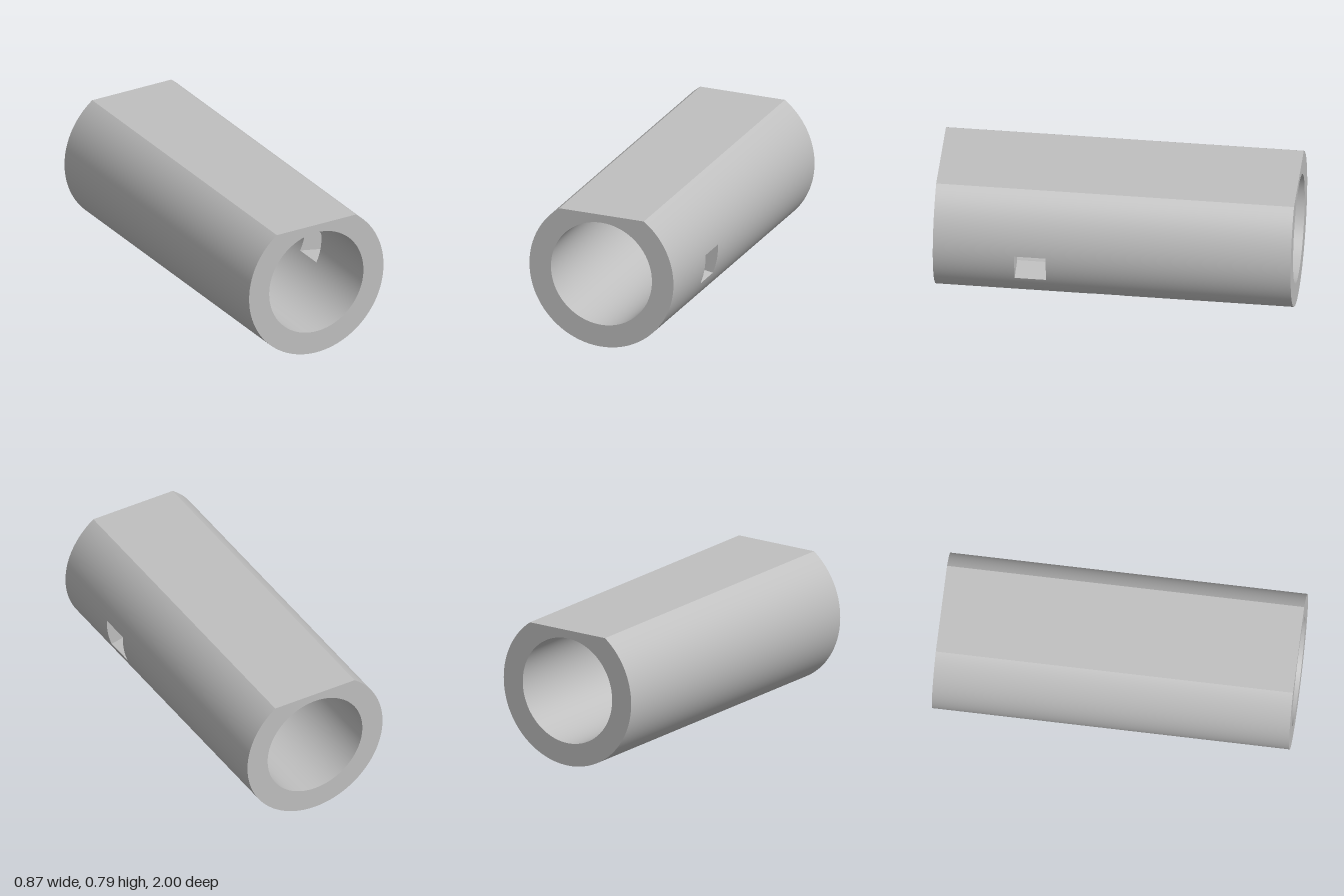
import * as THREE from 'three';
import { mergeGeometries } from 'three/addons/utils/BufferGeometryUtils.js';

const OUTER = 0.435, INNER = 0.305, HALF_LENGTH = 1;
const FLAT_HEIGHT = 0.352; // flat top, above the tube axis
const HALF_HOLE = 0.088;   // half the side of the square holes
const HOLES = [
  { angle: -10, z: 0.457 },
  { angle: -60, z: 0.045 },
];
const DEG = Math.PI / 180;
const FLAT_ANGLE = Math.asin(FLAT_HEIGHT / OUTER) / DEG;

// Angular limits of a parallel-sided radial hole at a given radius
function limits(hole, radius) {
  const half = Math.asin(HALF_HOLE / radius) / DEG;
  return [hole.angle - half, hole.angle + half];
}

// Evenly spaced angles, with the hole edges added
function arcAngles(radius, end) {
  const start = -180 - FLAT_ANGLE;
  const list = HOLES.flatMap((hole) => limits(hole, radius));
  const steps = Math.round((end - start) / 2);
  for (let i = 0; i <= steps; i++) list.push(start + ((end - start) * i) / steps);
  return list.sort((a, b) => a - b);
}

const outerAngles = arcAngles(OUTER, FLAT_ANGLE);
const innerAngles = arcAngles(INNER, 180 - FLAT_ANGLE);
const point = (radius, a) => new THREE.Vector2(Math.cos(a * DEG) * radius, Math.sin(a * DEG) * radius);

// Sheet from four-corner cells; each corner is [position, normal]
function sheet(cells) {
  const positions = [], normals = [];
  for (const c of cells) {
    for (const k of [0, 1, 2, 0, 2, 3]) {
      positions.push(...c[k][0]);
      normals.push(...c[k][1]);
    }
  }
  const geometry = new THREE.BufferGeometry();
  geometry.setAttribute('position', new THREE.Float32BufferAttribute(positions, 3));
  geometry.setAttribute('normal', new THREE.Float32BufferAttribute(normals, 3));
  return geometry;
}

// Round wall with the holes left open; side is 1 facing out, -1 facing in
function roundWall(radius, angles, side) {
  const zs = [-HALF_LENGTH, HALF_LENGTH];
  HOLES.forEach((h) => zs.push(h.z - HALF_HOLE, h.z + HALF_HOLE));
  zs.sort((a, b) => a - b);
  const corner = (a, z) => {
    const p = point(radius, a), n = point(side, a);
    return [[p.x, p.y, z], [n.x, n.y, 0]];
  };
  const cells = [];
  for (let j = 0; j < zs.length - 1; j++) {
    const zMid = (zs[j] + zs[j + 1]) / 2;
    for (let i = 0; i < angles.length - 1; i++) {
      const a = angles[i], b = angles[i + 1], mid = (a + b) / 2;
      const open = HOLES.some((h) => {
        const [lo, hi] = limits(h, radius);
        return Math.abs(zMid - h.z) < HALF_HOLE && mid > lo && mid < hi;
      });
      if (open) continue;
      const cell = [corner(a, zs[j]), corner(b, zs[j]), corner(b, zs[j + 1]), corner(a, zs[j + 1])];
      cells.push(side > 0 ? cell : cell.reverse());
    }
  }
  return sheet(cells);
}

// Flat face across the tube, facing +z or -z
function crossFace(shape, z, facing) {
  const geometry = new THREE.ShapeGeometry(shape).toNonIndexed();
  geometry.deleteAttribute('uv');
  if (facing < 0) {
    const p = geometry.attributes.position, n = geometry.attributes.normal;
    for (let i = 0; i < p.count; i += 3) {
      const x = p.getX(i), y = p.getY(i);
      p.setXY(i, p.getX(i + 1), p.getY(i + 1));
      p.setXY(i + 1, x, y);
    }
    for (let i = 0; i < n.count; i++) n.setXYZ(i, 0, 0, -1);
  }
  return geometry.translate(0, 0, z);
}

// Four walls lining one hole
function holeWalls(hole) {
  const z0 = hole.z - HALF_HOLE, z1 = hole.z + HALF_HOLE;
  const outer = limits(hole, OUTER), inner = limits(hole, INNER);
  const within = (angles, [lo, hi]) => angles.filter((a) => a >= lo && a <= hi);
  const shape = new THREE.Shape([
    ...within(outerAngles, outer).map((a) => point(OUTER, a)),
    ...within(innerAngles, inner).reverse().map((a) => point(INNER, a)),
  ]);
  const sides = [0, 1].map((i) => {
    const o = point(OUTER, outer[i]), n = point(INNER, inner[i]);
    const facing = point(1, hole.angle + (i ? -90 : 90));
    const normal = [facing.x, facing.y, 0];
    const cell = [[n, z0], [n, z1], [o, z1], [o, z0]].map(([p, z]) => [[p.x, p.y, z], normal]);
    return i ? cell.reverse() : cell;
  });
  return mergeGeometries([crossFace(shape, z0, 1), crossFace(shape, z1, -1), sheet(sides)]);
}

export function createModel() {
  const group = new THREE.Group();
  group.name = 'flatToppedTube';
  const material = new THREE.MeshStandardMaterial({ color: 0xbfbfbf });
  material.name = 'plain grey';
  const add = (name, geometry) => {
    const mesh = new THREE.Mesh(geometry, material);
    mesh.name = name;
    mesh.position.y = OUTER;
    group.add(mesh);
  };

  // Outer and inner round walls
  add('outerWall', roundWall(OUTER, outerAngles, 1));
  add('bore', roundWall(INNER, innerAngles, -1));

  // Flat strip along the top
  const halfFlat = point(OUTER, FLAT_ANGLE).x;
  const flat = new THREE.PlaneGeometry(halfFlat * 2, HALF_LENGTH * 2).rotateX(-Math.PI / 2);
  add('flatTop', flat.translate(0, FLAT_HEIGHT, 0));

  // Ring-shaped ends
  const ring = new THREE.Shape(outerAngles.map((a) => point(OUTER, a)));
  ring.holes.push(new THREE.Path(innerAngles.slice(0, -1).map((a) => point(INNER, a))));
  add('frontEnd', crossFace(ring, HALF_LENGTH, 1));
  add('backEnd', crossFace(ring, -HALF_LENGTH, -1));

  // Square holes through the wall
  add('sideHole', holeWalls(HOLES[0]));
  add('lowerHole', holeWalls(HOLES[1]));
  return group;
}
